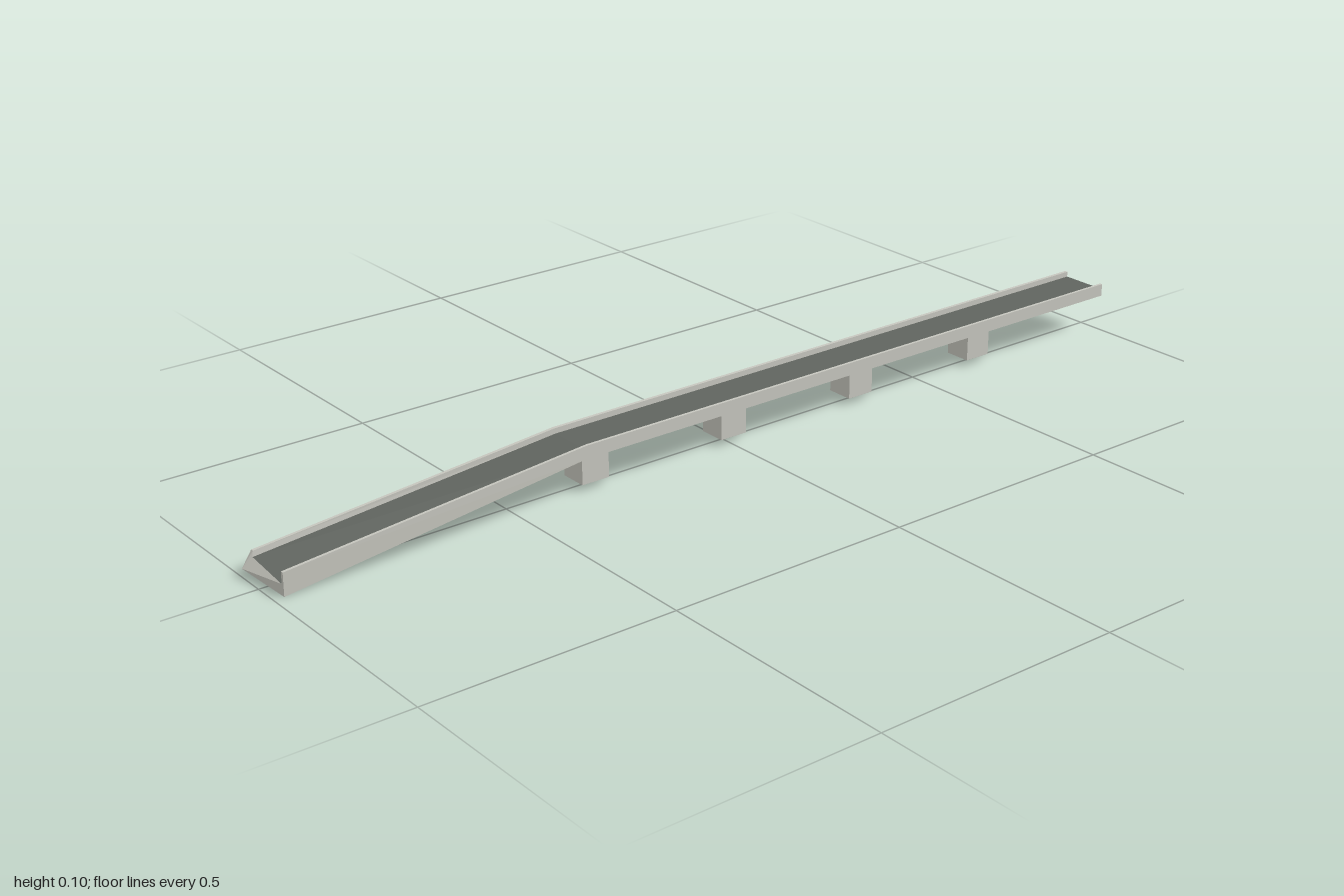
import * as THREE from 'three';

const concrete = new THREE.MeshStandardMaterial({ color: 0xc6c6be });
concrete.name = 'pale concrete';
const asphalt = new THREE.MeshStandardMaterial({ color: 0x60645f });
asphalt.name = 'dark asphalt';

// Flat-shaded geometry from separate quads (corners counterclockwise from outside)
function quadGeometry(quads) {
  const positions = quads.flatMap(([a, b, c, d]) => [a, b, c, a, c, d].flat());
  const geometry = new THREE.BufferGeometry();
  geometry.setAttribute('position', new THREE.Float32BufferAttribute(positions, 3));
  geometry.computeVertexNormals();
  return geometry;
}

// U-shaped section: bottom, right parapet, road surface, left parapet
const section = (z) => [
  [-0.055, 0.077, z], [0.053, 0.077, z], [0.053, 0.103, z], [0.047, 0.103, z],
  [0.047, 0.092, z], [-0.048, 0.092, z], [-0.048, 0.103, z], [-0.055, 0.103, z],
];

// Skewed lower end of the ramp
const rampEnd = [
  [-0.055, 0.017, 1.0], [0.052, 0, 0.98], [0.053, 0.046, 0.98], [0.047, 0.046, 0.98],
  [0.046, 0.022, 0.98], [-0.048, 0.036, 0.982], [-0.049, 0.047, 0.98], [-0.055, 0.047, 0.98],
];

const ROAD_EDGE = 4; // section edge that carries the road surface

function spanQuads(back, front) {
  return back.map((p, i) => {
    const j = (i + 1) % back.length;
    return [p, back[j], front[j], front[i]];
  });
}

function capQuads(s, reversed) {
  return [[0, 1, 4, 5], [1, 2, 3, 4], [0, 5, 6, 7]].map((ids) => {
    const quad = ids.map((i) => s[i]);
    return reversed ? quad.reverse() : quad;
  });
}

export function createModel() {
  const group = new THREE.Group();
  group.name = 'rampBridge';
  const add = (name, geometry, material) => {
    const mesh = new THREE.Mesh(geometry, material);
    mesh.name = name;
    group.add(mesh);
    return mesh;
  };

  // Level deck and sloping ramp, each with its road surface
  const back = section(-1);
  const bend = section(0.355);
  const spans = [
    ['level', spanQuads(back, bend), capQuads(back, true)],
    ['ramp', spanQuads(bend, rampEnd), capQuads(rampEnd, false)],
  ];
  for (const [name, sides, caps] of spans) {
    const shell = sides.filter((_, i) => i !== ROAD_EDGE);
    add(`${name}Deck`, quadGeometry([...shell, ...caps]), concrete);
    add(`${name}Road`, quadGeometry([sides[ROAD_EDGE]]), asphalt);
  }

  // Evenly spaced support piers
  for (let i = 0; i < 4; i++) {
    const pier = add(`pier${i + 1}`, new THREE.BoxGeometry(0.057, 0.065, 0.06), concrete);
    pier.position.set(-0.001, 0.0455, 0.32 - i * 0.326);
  }
  return group;
}
